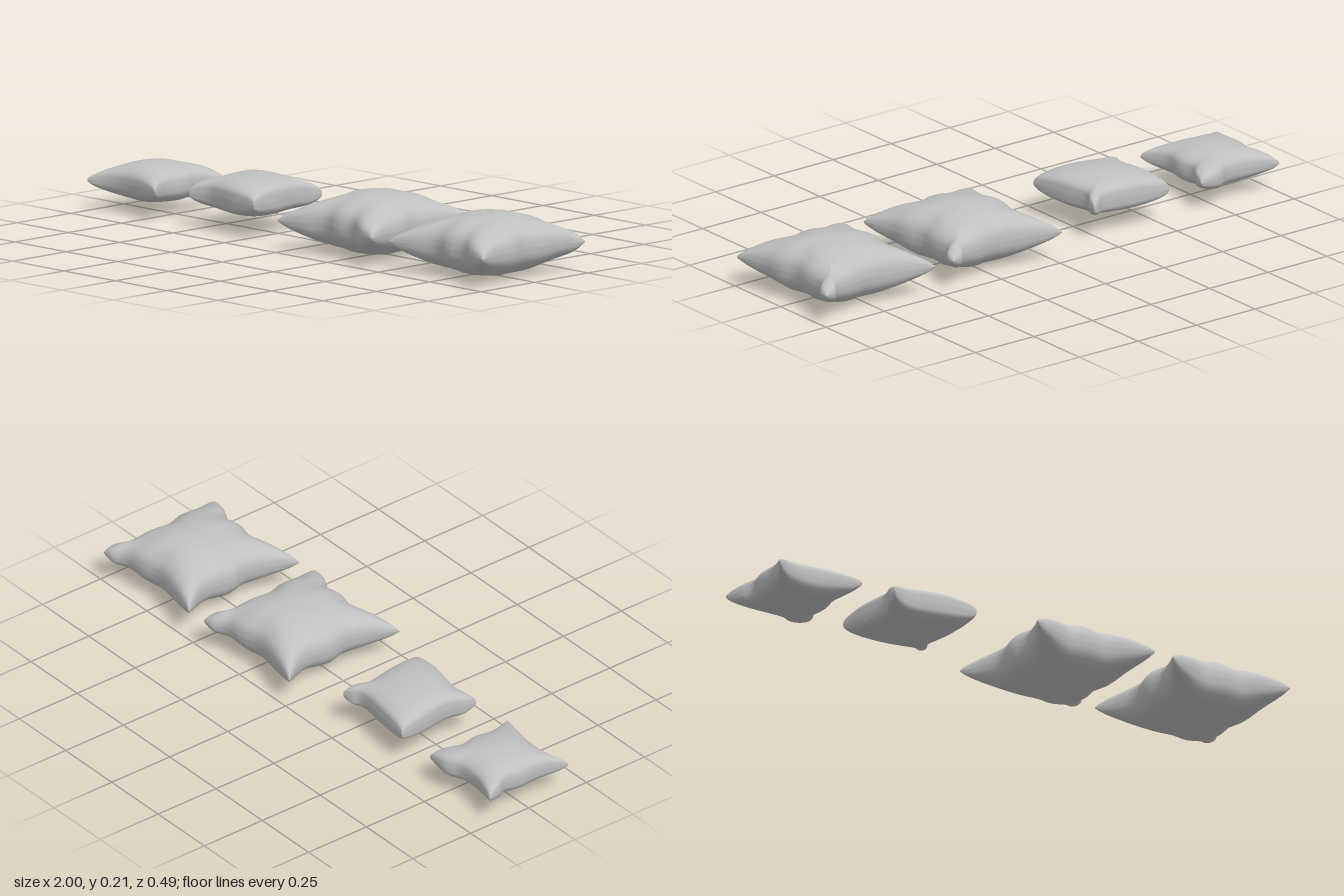
import * as THREE from 'three';

const N = 28; // grid cells per cushion side

// Smooth seam edge through [x, z] points
function edge(points) {
  const curve = new THREE.CatmullRomCurve3(points.map(([x, z]) => new THREE.Vector3(x, 0, z)));
  return curve.getSpacedPoints(400);
}

// Half a cushion: a patch spanning the four seam edges, puffed up or down
function sheet(sides, height, power, sign) {
  const [back, right, front, left] = sides;
  const pos = [], index = [];
  const at = (pts, t) => pts[Math.round(t * 400)];
  for (let j = 0; j <= N; j++) {
    for (let i = 0; i <= N; i++) {
      const a = Math.PI * (i / N - 0.5), b = Math.PI * (j / N - 0.5);
      const s = (Math.sin(a) + 1) / 2, t = (Math.sin(b) + 1) / 2;
      const mix = (k) =>
        (1 - t) * at(back, s)[k] + t * at(front, s)[k] + (1 - s) * at(left, t)[k] + s * at(right, t)[k]
        - (1 - s) * (1 - t) * back[0][k] - s * (1 - t) * back[400][k]
        - (1 - s) * t * front[0][k] - s * t * front[400][k];
      const rim = i === 0 || j === 0 || i === N || j === N;
      const puff = rim ? 0 : Math.pow(Math.cos(a) * Math.cos(b), 2 * power);
      pos.push(mix('x'), sign * height * puff, mix('z'));
      if (i < N && j < N) {
        const p = j * (N + 1) + i, q = p + 1, r = p + N + 1, w = r + 1;
        if (sign > 0) index.push(p, r, q, q, r, w);
        else index.push(p, q, r, q, w, r);
      }
    }
  }
  const g = new THREE.BufferGeometry();
  g.setAttribute('position', new THREE.Float32BufferAttribute(pos, 3));
  g.setIndex(index);
  g.computeVertexNormals();
  return g;
}

// Seam outlines: corners, and the points between them, going
// back left, back right, front right, front left
const large = {
  corners: [[-0.238, -0.245], [0.227, -0.242], [0.233, 0.242], [-0.233, 0.235]],
  between: [
    [[-0.13, -0.215], [0, -0.19], [0.07, -0.203], [0.15, -0.21], [0.185, -0.24]],
    [[0.225, -0.205], [0.195, -0.17], [0.19, -0.08], [0.18, -0.01], [0.2, 0.055], [0.205, 0.135]],
    [[0.15, 0.22], [0.07, 0.18], [0.01, 0.19], [-0.06, 0.175], [-0.14, 0.205]],
    [[-0.19, 0.135], [-0.17, 0.055], [-0.185, -0.01], [-0.17, -0.1], [-0.19, -0.16]],
  ],
  top: 0.103, bottom: 0.108, power: 0.38,
};
const small = {
  corners: [[-0.165, -0.168], [0.165, -0.163], [0.165, 0.172], [-0.165, 0.172]],
  between: [
    [[-0.1, -0.148], [-0.03, -0.135], [0.035, -0.138], [0.08, -0.163]],
    [[0.15, -0.11], [0.125, -0.067], [0.135, 0], [0.125, 0.07], [0.14, 0.12]],
    [[0.065, 0.145], [-0.03, 0.13], [-0.105, 0.14]],
    [[-0.135, 0.085], [-0.135, -0.01], [-0.125, -0.067], [-0.145, -0.105]],
  ],
  top: 0.065, bottom: 0.07, power: 0.31,
};
const blunt = {
  corners: [[-0.163, -0.17], [0.157, -0.168], [0.163, 0.158], [-0.16, 0.152]],
  between: [
    [[-0.03, -0.152], [0.1, -0.14], [0.125, -0.158]],
    [[0.15, -0.13], [0.128, -0.093], [0.145, 0.03]],
    [[0.05, 0.15], [-0.085, 0.127], [-0.12, 0.135]],
    [[-0.16, 0.11], [-0.14, 0.056], [-0.155, -0.08]],
  ],
  top: 0.068, bottom: 0.066, power: 0.24,
};

function cushion(name, shape, material, x, y) {
  const { corners, between, top, bottom, power } = shape;
  const sides = between.map((mid, k) => edge([corners[k], ...mid, corners[(k + 1) % 4]]));
  // Front and left run the opposite way round the loop
  sides[2].reverse();
  sides[3].reverse();
  const group = new THREE.Group();
  group.name = name;
  for (const [part, h, sign] of [['topCover', top, 1], ['bottomCover', bottom, -1]]) {
    const mesh = new THREE.Mesh(sheet(sides, h, power, sign), material);
    mesh.name = part;
    group.add(mesh);
  }
  group.position.set(x, y, 0);
  return group;
}

export function createModel() {
  const fabric = new THREE.MeshStandardMaterial({ color: 0xc0c0c0, side: THREE.DoubleSide });
  fabric.name = 'greyFabric';
  const model = new THREE.Group();
  model.name = 'cushions';
  model.add(
    cushion('smallCushion', small, fabric, -0.835, 0.105),
    cushion('bluntCushion', blunt, fabric, -0.366, 0.121),
    cushion('largeCushionInner', large, fabric, 0.225, 0.108),
    cushion('largeCushionOuter', large, fabric, 0.766, 0.108),
  );
  return model;
}
